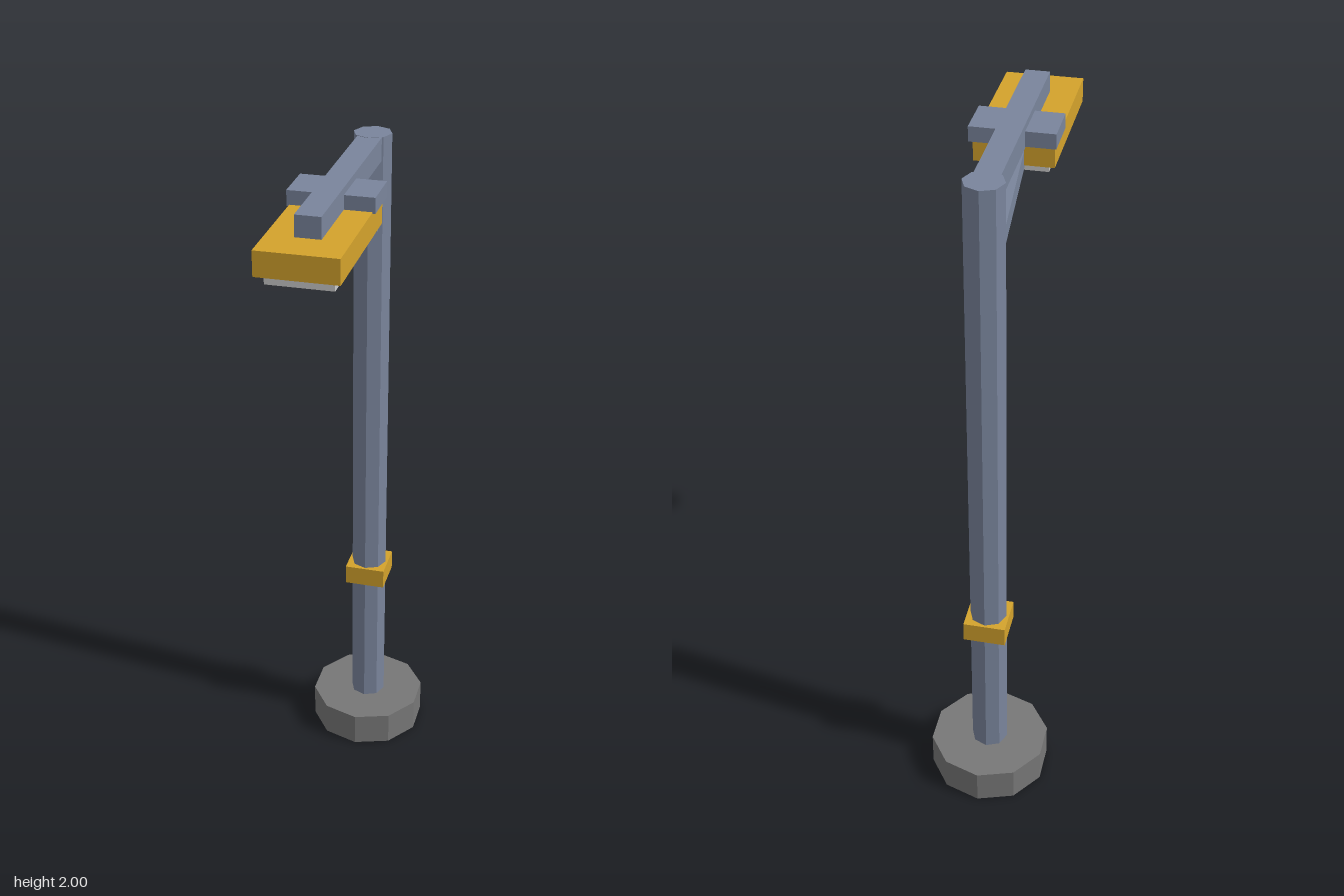
import * as THREE from 'three';

const paint = (color) => new THREE.MeshStandardMaterial({ color, flatShading: true });

export function createModel() {
  const model = new THREE.Group();
  model.name = 'streetLamp';
  const steel = paint(0x7a859c);
  const yellow = paint(0xd4a32c);
  const concrete = paint(0x777777);
  const glass = paint(0xcccccc);
  const poleZ = -0.294;

  const add = (name, geometry, material) => {
    const mesh = new THREE.Mesh(geometry, material);
    mesh.name = name;
    model.add(mesh);
    return mesh;
  };

  // Box centred on x, given by its y and z ranges
  const box = (name, width, y0, y1, z0, z1, material) =>
    add(name, new THREE.BoxGeometry(width, y1 - y0, z1 - z0), material)
      .position.set(0, (y0 + y1) / 2, (z0 + z1) / 2);

  // Upright prism on the pole axis
  const prism = (name, radius, y0, y1, sides, material) =>
    add(name, new THREE.CylinderGeometry(radius, radius, y1 - y0, sides), material)
      .position.set(0, (y0 + y1) / 2, poleZ);

  // Footing, pole and collar
  prism('base', 0.178, 0, 0.105, 10, concrete);
  prism('pole', 0.054, 0.1, 2, 8, steel);
  box('collar', 0.122, 0.55, 0.61, poleZ - 0.061, poleZ + 0.061, yellow);

  // Horizontal arm and the clamp across it
  box('arm', 0.068, 1.934, 1.999, poleZ, 0.365, steel);
  box('clamp', 0.23, 1.938, 1.98, 0.028, 0.155, steel);

  // Lamp head with its lens underneath
  box('lampHead', 0.216, 1.875, 1.942, 0.05, 0.47, yellow);
  box('lens', 0.176, 1.848, 1.876, 0.078, 0.445, glass);

  // Sloping brace from the pole to the back of the head
  const low = new THREE.Vector3(0, 1.751, -0.268);
  const high = new THREE.Vector3(0, 1.899, 0.075);
  const brace = add('brace', new THREE.BoxGeometry(0.054, 0.048, low.distanceTo(high)), steel);
  brace.position.copy(low).lerp(high, 0.5);
  brace.lookAt(high);

  return model;
}
